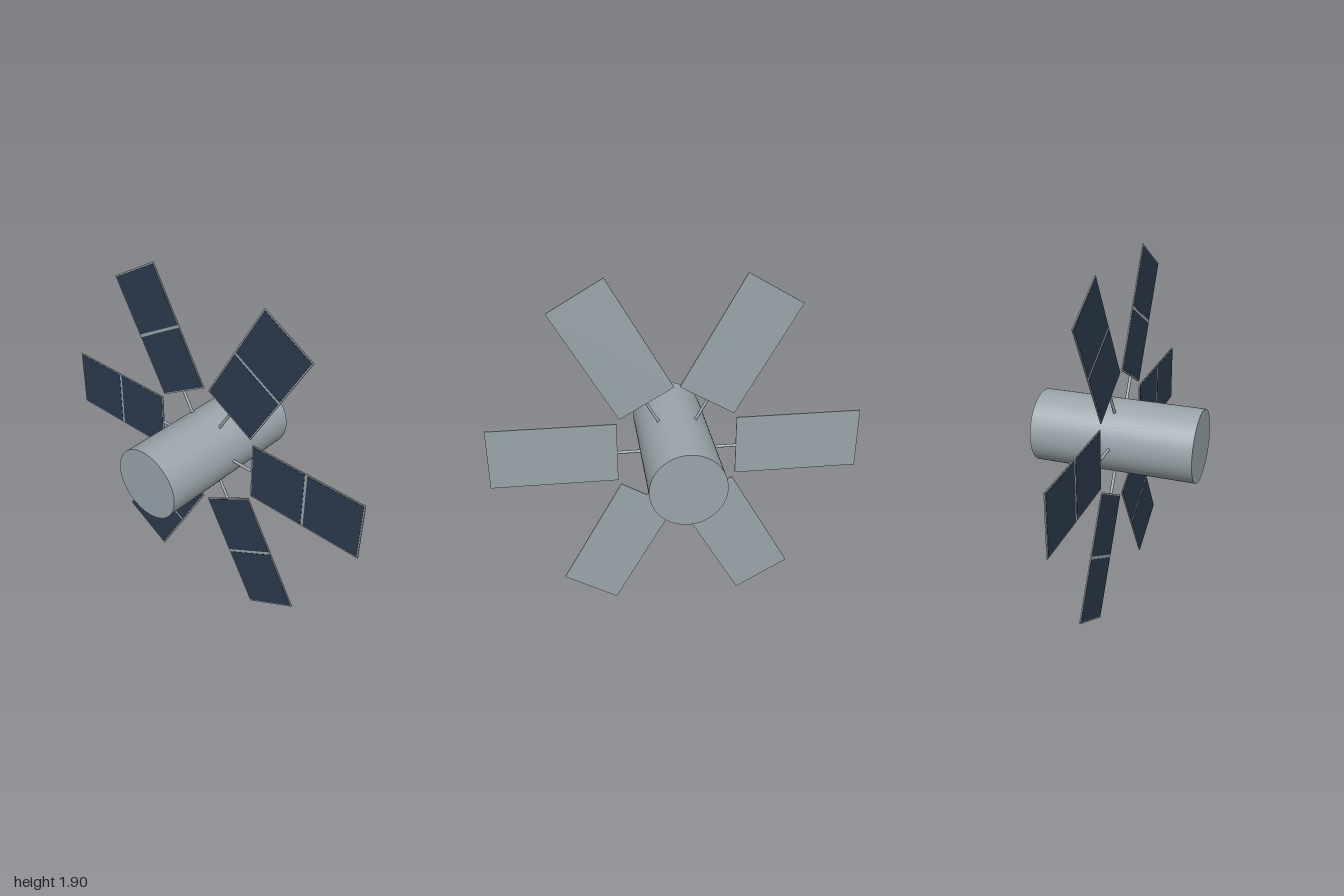
import * as THREE from 'three';

export function createModel() {
  const model = new THREE.Group();
  model.name = 'satellite';
  const metal = new THREE.MeshStandardMaterial({ name: 'light grey metal', color: 0x9aa5aa });
  const solar = new THREE.MeshStandardMaterial({ name: 'dark blue solar cell', color: 0x2c3a4e });

  const CENTRE_Y = 0.953;
  const INNER = 0.32, OUTER = 1.0, WIDTH = 0.335, THICK = 0.006;
  const RIM = 0.007, GAP = 0.016;

  const add = (parent, name, geometry, material, x = 0, z = 0) => {
    const mesh = new THREE.Mesh(geometry, material);
    mesh.name = name;
    mesh.position.set(x, 0, z);
    parent.add(mesh);
    return mesh;
  };

  // Cylindrical body lying along z
  const body = add(model, 'body', new THREE.CylinderGeometry(0.197, 0.197, 0.886, 64).rotateX(Math.PI / 2), metal);
  body.position.y = CENTRE_Y;

  // Shared geometry for the six wings, each built along +x
  const strutGeo = new THREE.CylinderGeometry(0.008, 0.008, INNER - 0.18, 16).rotateZ(Math.PI / 2);
  const panelGeo = new THREE.BoxGeometry(OUTER - INNER, WIDTH, THICK);
  const cellLength = (OUTER - INNER - 2 * RIM - GAP) / 2;
  const cellGeo = new THREE.BoxGeometry(cellLength, WIDTH - 2 * RIM, 0.002);
  const middle = (INNER + OUTER) / 2;

  for (let i = 0; i < 6; i++) {
    const wing = new THREE.Group();
    wing.name = `solarWing${i + 1}`;
    wing.position.y = CENTRE_Y;
    wing.rotation.z = (i * Math.PI) / 3;
    add(wing, 'strut', strutGeo, metal, (INNER + 0.18) / 2);
    add(wing, 'panelFrame', panelGeo, metal, middle);
    // Two thin cells on the front face only
    for (const side of [-1, 1]) {
      add(wing, side < 0 ? 'innerCell' : 'outerCell', cellGeo, solar,
        middle + side * (cellLength + GAP) / 2, THICK / 2 + 0.0005);
    }
    model.add(wing);
  }
  return model;
}
